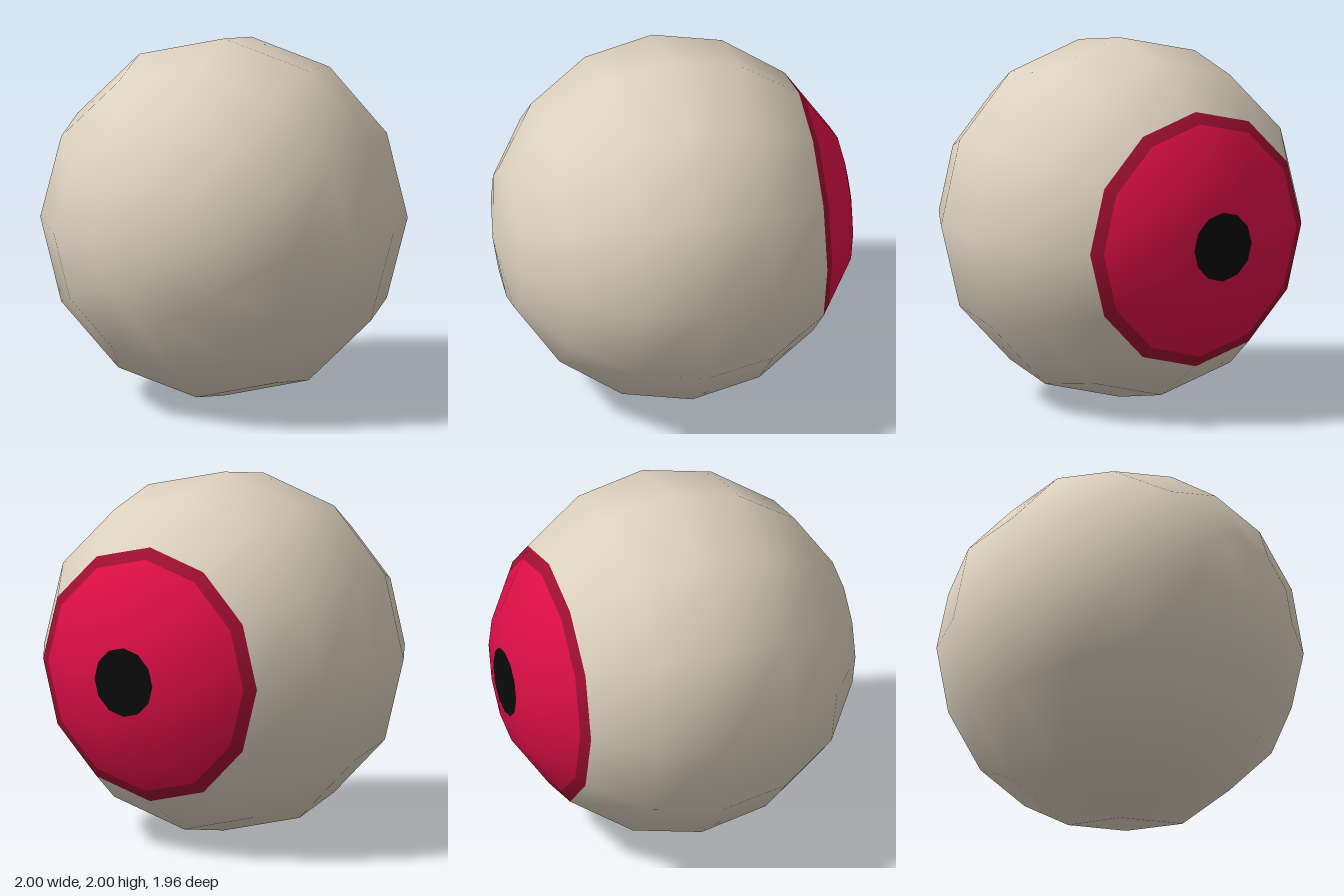
import * as THREE from 'three';

const SIDES = 12;
const CENTRE_Z = -0.02;

// Point on the unit sphere profile: step 0 is the back pole, step 8 the front pole
const ring = (step) => {
  const a = (step * Math.PI) / 8;
  return new THREE.Vector2(Math.max(Math.sin(a), 0), -Math.cos(a));
};

// Lathe a band about the z axis, shaded as one smooth ball
function band(name, points, material) {
  const geometry = new THREE.LatheGeometry(points, SIDES);
  geometry.rotateX(Math.PI / 2);
  const p = geometry.attributes.position;
  const n = new THREE.Vector3();
  for (let i = 0; i < p.count; i++) {
    n.fromBufferAttribute(p, i).normalize();
    geometry.attributes.normal.setXYZ(i, n.x, n.y, n.z);
  }
  const mesh = new THREE.Mesh(geometry, material);
  mesh.name = name;
  return mesh;
}

function mat(name, color) {
  const m = new THREE.MeshStandardMaterial({ color });
  m.name = name;
  return m;
}

export function createModel() {
  const white = mat('warm white', 0xddd0be);
  const red = mat('iris red', 0xdb0e46);
  const darkRed = mat('dark rim red', 0x9e0f30);
  const black = mat('pupil black', 0x0a0a0a);

  // Colour borders lie on the flat facets between the rings
  const irisEdge = ring(2).lerp(ring(1), 0.19);
  const pupilEdge = ring(1).lerp(ring(0), 0.5);

  const eye = new THREE.Group();
  eye.name = 'eyeball';
  eye.add(
    band('sclera', [2, 3, 4, 5, 6, 7, 8].map(ring), white),
    band('irisRim', [irisEdge, ring(2)], darkRed),
    band('iris', [pupilEdge, ring(1), irisEdge], red)
  );

  // Flat pupil closing the back of the ball
  const pupil = new THREE.Mesh(new THREE.CircleGeometry(pupilEdge.x, SIDES), black);
  pupil.name = 'pupil';
  pupil.rotation.y = Math.PI;
  pupil.position.z = pupilEdge.y;
  eye.add(pupil);

  eye.position.set(0, 1, CENTRE_Z);
  const model = new THREE.Group();
  model.name = 'eyeModel';
  model.add(eye);
  return model;
}
